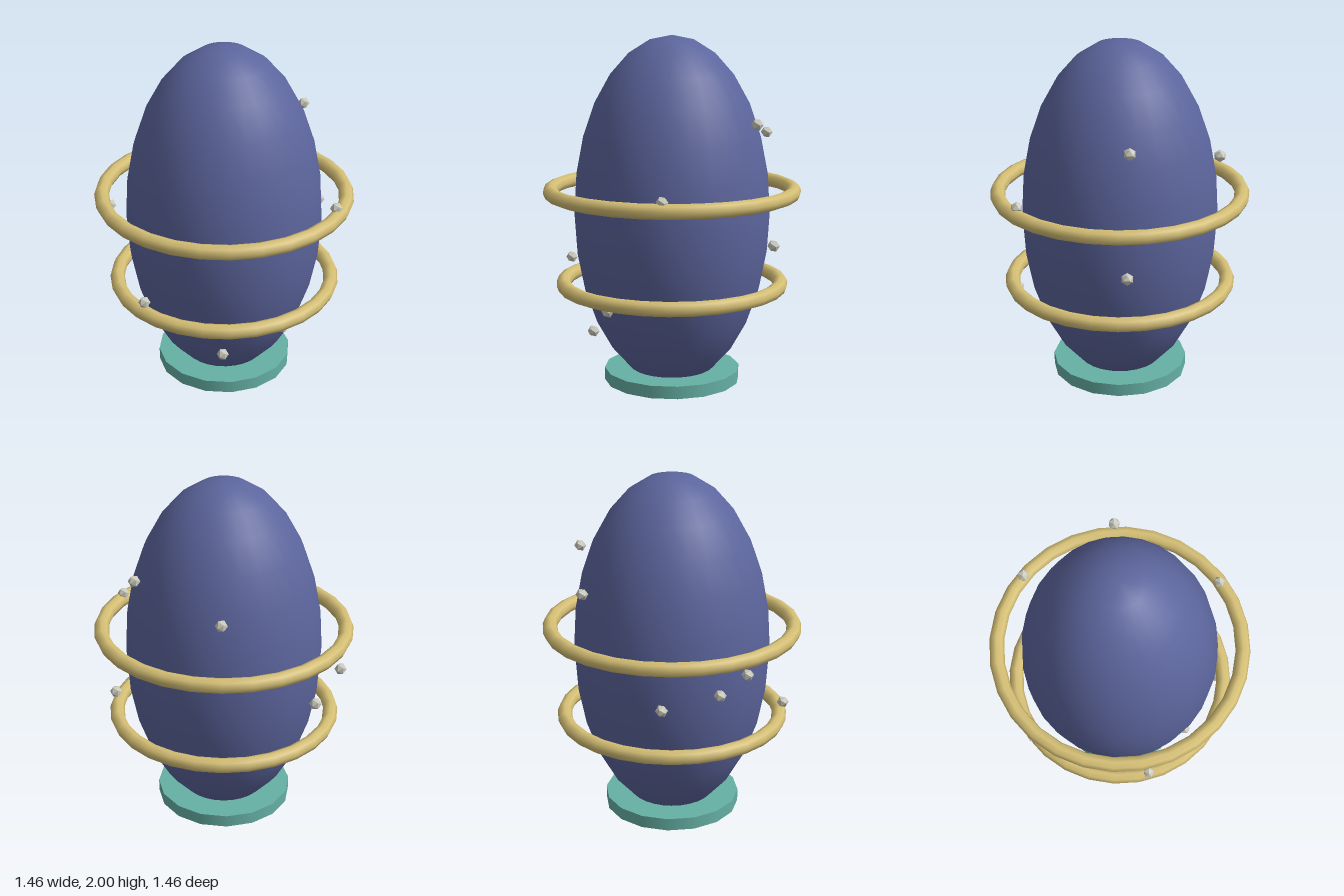
import * as THREE from 'three';

const paint = (name, color) => {
  const m = new THREE.MeshStandardMaterial({ color });
  m.name = name;
  return m;
};

export function createModel() {
  const model = new THREE.Group();
  model.name = 'ringedEgg';
  const blue = paint('slateBlue', 0x5c659d);
  const gold = paint('paleGold', 0xd4be74);
  const teal = paint('teal', 0x66b0a5);
  const stone = paint('lightStone', 0xc9c8ba);
  stone.flatShading = true;

  const add = (name, geometry, material, x, y, z) => {
    const mesh = new THREE.Mesh(geometry, material);
    mesh.name = name;
    mesh.position.set(x, y, z);
    model.add(mesh);
    return mesh;
  };

  // Egg-shaped body: a stretched sphere
  const R = 1 / 1.8;
  const eggShape = new THREE.SphereGeometry(R, 28, 14).scale(1, 1.8, 1);
  add('egg', eggShape, blue, 0, 1, 0);

  // Flat disc foot, with the egg's tip just poking through
  add('base', new THREE.CylinderGeometry(0.39, 0.39, 0.072, 16), teal, 0, 0.057, 0);

  // Two level hoops
  for (const [name, radius, y] of [['upperRing', 0.689, 1.13], ['lowerRing', 0.621, 0.596]]) {
    add(name, new THREE.TorusGeometry(radius, 0.0417, 8, 28).rotateX(Math.PI / 2), gold, 0, y, 0);
  }

  // Small faceted stones floating round the egg
  const stoneShape = new THREE.IcosahedronGeometry(0.034, 0);
  const spots = [
    [0.55, 1.535, -0.06], [0.265, 1.43, -0.54], [0.395, 1.175, 0.545],
    [-0.6, 1.045, -0.32], [-0.504, 0.96, -0.456], [-0.25, 0.895, -0.635],
    [0.675, 0.89, -0.05], [-0.607, 0.687, 0.2], [0.045, 0.545, 0.588],
    [-0.233, 0.347, 0.41],
  ];
  const stones = new THREE.Group();
  stones.name = 'floatingStones';
  for (const [x, y, z] of spots) stones.add(add('stone', stoneShape, stone, x, y, z));
  model.add(stones);

  return model;
}
